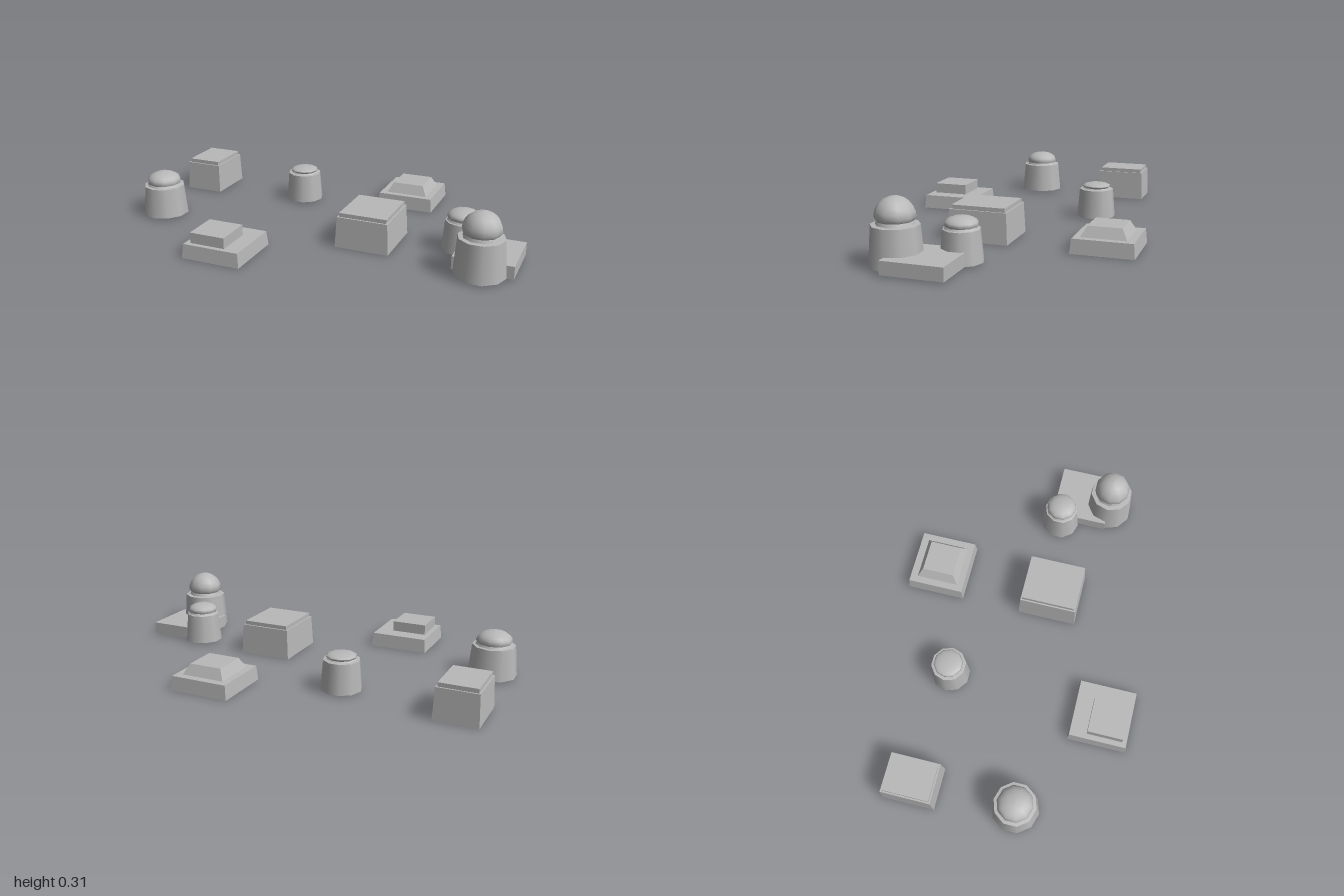
import * as THREE from 'three';

const stone = new THREE.MeshStandardMaterial({ color: 0xb8b8b8, side: THREE.DoubleSide });
stone.name = 'pale grey';

// Stepped rectangular shell, open below. Rings run upwards: [y, halfX, halfZ, offsetX, offsetZ]
function steppedBlock(name, x, z, rings) {
  const pos = [];
  const loops = rings.map(([y, hx, hz, ox = 0, oz = 0]) =>
    [[-1, 1], [1, 1], [1, -1], [-1, -1]].map(([sx, sz]) => [ox + sx * hx, y, oz + sz * hz]));
  const quad = (a, b, c, d) => pos.push(...a, ...b, ...c, ...a, ...c, ...d);
  for (let i = 0; i < loops.length - 1; i++) {
    for (let j = 0; j < 4; j++) {
      const k = (j + 1) % 4;
      quad(loops[i][j], loops[i][k], loops[i + 1][k], loops[i + 1][j]);
    }
  }
  quad(...loops[loops.length - 1]); // flat roof
  const geo = new THREE.BufferGeometry();
  geo.setAttribute('position', new THREE.Float32BufferAttribute(pos, 3));
  geo.computeVertexNormals();
  const mesh = new THREE.Mesh(geo, stone);
  mesh.name = name;
  mesh.position.set(x, 0, z);
  return mesh;
}

// Ten-sided tapered tower, open below, with a recessed neck and a cap
function domedTower(name, x, z, turn, { r, rTop, yTop, neck, rDome, yDome, top }) {
  const tower = new THREE.Group();
  tower.name = name;
  tower.position.set(x, 0, z);
  const turned = (part, points) => {
    const geo = new THREE.LatheGeometry(points.map(p => new THREE.Vector2(...p)), 10, turn);
    const mesh = new THREE.Mesh(geo, stone);
    mesh.name = part;
    tower.add(mesh);
  };
  const yNeck = yTop + (yDome - yTop) * 0.5;
  turned('towerWall', [[r, 0.008], [rTop, yTop]]);
  turned('wallLedge', [[rTop, yTop], [neck + 0.006, yTop + 0.002]]);
  turned('neck', [[neck + 0.006, yTop + 0.002], [neck, yNeck]]);
  // cap flares out from the neck, then rounds over
  const cap = [[neck, yNeck]];
  for (let i = 0; i <= 6; i++) {
    const a = (i / 6) * Math.PI / 2;
    cap.push([i === 6 ? 0 : rDome * Math.cos(a), yDome + (top - yDome) * Math.sin(a)]);
  }
  turned('cap', cap);
  return tower;
}

export function createModel() {
  const model = new THREE.Group();
  model.name = 'rooftopBlocks';
  const side = Math.PI / 2;

  // Tall blocks with a shallow raised roof
  model.add(steppedBlock('tallBlockBack', -0.885, -0.333,
    [[0, 0.104, 0.131], [0.154, 0.098, 0.124], [0.154, 0.09, 0.116], [0.174, 0.09, 0.116]]));
  model.add(steppedBlock('tallBlockCentre', 0.262, 0.102,
    [[0, 0.136, 0.152], [0.154, 0.128, 0.145], [0.154, 0.12, 0.136], [0.174, 0.12, 0.136]]));

  // Low blocks
  model.add(steppedBlock('lowBlockFront', -0.334, 0.503,
    [[0, 0.151, 0.151], [0.071, 0.144, 0.144],
      [0.071, 0.09, 0.09, -0.028, 0.031], [0.124, 0.09, 0.09, -0.028, 0.031]]));
  model.add(steppedBlock('lowBlockBack', 0.278, -0.511,
    [[0, 0.151, 0.151], [0.071, 0.144, 0.144],
      [0.071, 0.109, 0.109, 0, 0.003], [0.121, 0.082, 0.082, 0, 0.003]]));
  model.add(steppedBlock('plainLowBlock', 0.857, 0.146,
    [[0.008, 0.143, 0.146], [0.071, 0.143, 0.146]]));

  // Round towers
  model.add(domedTower('wideTower', -0.885, 0.185, 0,
    { r: 0.12, rTop: 0.105, yTop: 0.161, neck: 0.084, rDome: 0.088, yDome: 0.184, top: 0.233 }));
  model.add(domedTower('smallTowerBack', -0.291, -0.309, side,
    { r: 0.1, rTop: 0.088, yTop: 0.155, neck: 0.066, rDome: 0.074, yDome: 0.17, top: 0.188 }));
  model.add(domedTower('smallTowerRight', 0.703, 0.047, 0,
    { r: 0.1, rTop: 0.086, yTop: 0.155, neck: 0.073, rDome: 0.078, yDome: 0.176, top: 0.212 }));
  model.add(domedTower('tallTower', 0.845, 0.291, side,
    { r: 0.123, rTop: 0.109, yTop: 0.189, neck: 0.081, rDome: 0.092, yDome: 0.222, top: 0.312 }));

  return model;
}
